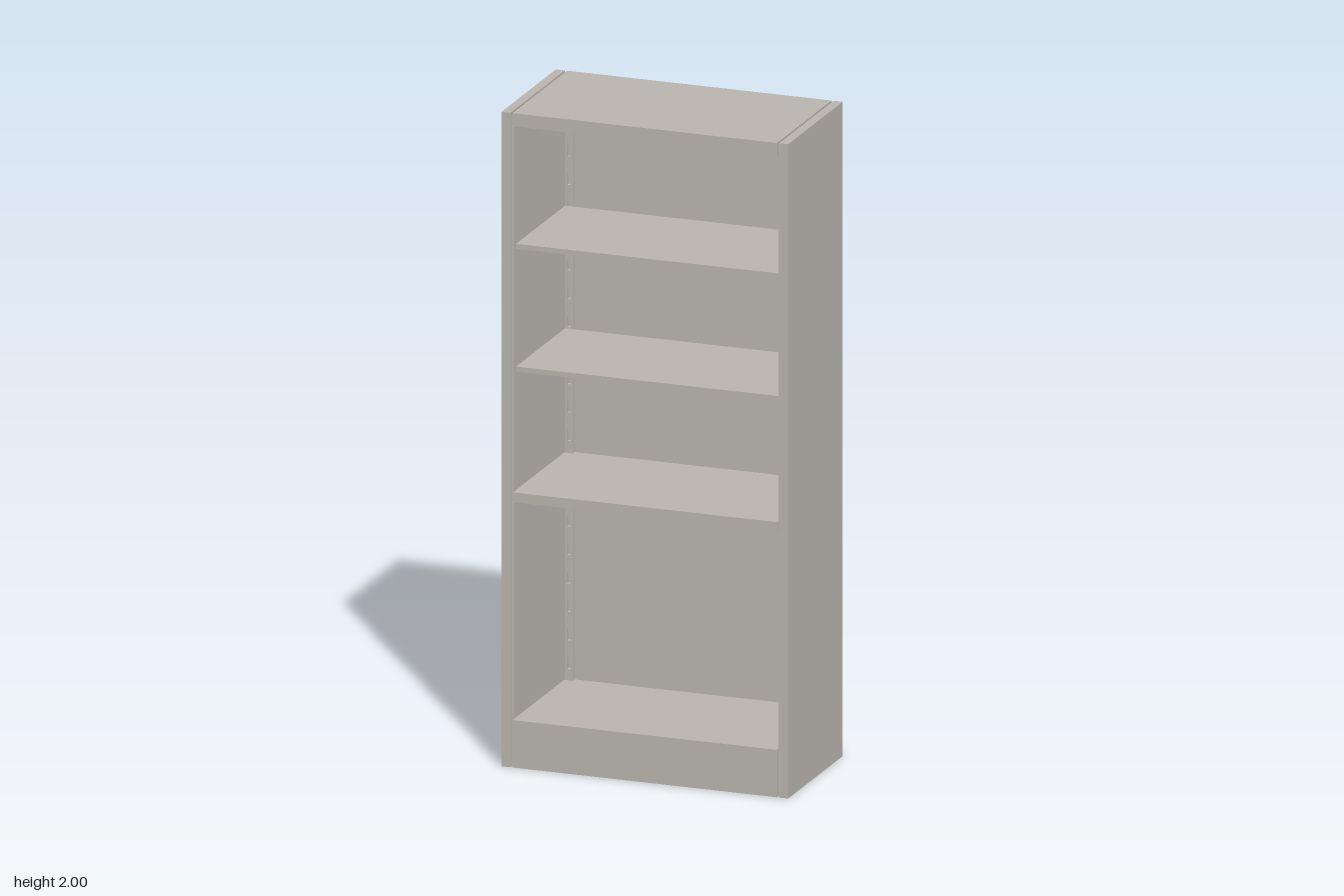
import * as THREE from 'three';

export function createModel() {
  const model = new THREE.Group();
  const paint = new THREE.MeshStandardMaterial({ color: 0xb8b4ad });
  paint.name = 'warm grey paint';

  const W = 0.448, D = 0.224, H = 2; // half width, half depth, height
  const inner = 0.42;                // inner face of the side panels
  const bay = 0.413;                 // half width of top, base and fixed shelf

  // Box given by its limits on each axis
  function box(name, x0, x1, y0, y1, z0, z1) {
    const mesh = new THREE.Mesh(new THREE.BoxGeometry(x1 - x0, y1 - y0, z1 - z0), paint);
    mesh.position.set((x0 + x1) / 2, (y0 + y1) / 2, (z0 + z1) / 2);
    mesh.name = name;
    model.add(mesh);
    return mesh;
  }

  // Perforated shelf upright, a strip with a row of slots
  function uprightGeometry(width, y0, y1) {
    const rect = (path, a, b, c, d) => {
      path.moveTo(a, c);
      path.lineTo(b, c);
      path.lineTo(b, d);
      path.lineTo(a, d);
      path.closePath();
      return path;
    };
    const strip = rect(new THREE.Shape(), -width / 2, width / 2, y0, y1);
    for (let y = y0 + 0.035; y + 0.036 < y1; y += 0.087) {
      strip.holes.push(rect(new THREE.Path(), -0.006, 0.006, y, y + 0.036));
    }
    return new THREE.ExtrudeGeometry(strip, { depth: 0.012, bevelEnabled: false });
  }
  const upright = uprightGeometry(0.026, 0.145, 1.96);

  for (const [side, s] of [['left', 1], ['right', -1]]) {
    // Side panel, with a recessed filler that leaves a narrow groove
    const a = s * inner, b = s * W, c = s * bay;
    box(side + 'SidePanel', Math.min(a, b), Math.max(a, b), 0, H, -D, D);
    box(side + 'GrooveFiller', Math.min(a, c), Math.max(a, c), 0.004, H - 0.012, -D + 0.006, D - 0.012);

    const post = new THREE.Mesh(upright, paint);
    post.name = side + 'ShelfUpright';
    post.position.set(s * 0.398, 0, -0.213);
    model.add(post);
  }

  // Carcass
  box('topPanel', -bay, bay, 1.96, H, -D, D);
  box('basePlinth', -bay, bay, 0, 0.145, -D, D);
  box('backPanel', -inner, inner, 0.145, 1.96, -D + 0.003, -D + 0.009);

  // Shelves: one thick fixed, two thin adjustable
  box('fixedShelf', -bay, bay, 0.81, 0.84, -D + 0.008, D - 0.003);
  for (const y of [1.205, 1.58]) {
    box('adjustableShelf', -0.41, 0.41, y, y + 0.015, -0.2, D - 0.02);
  }
  return model;
}
